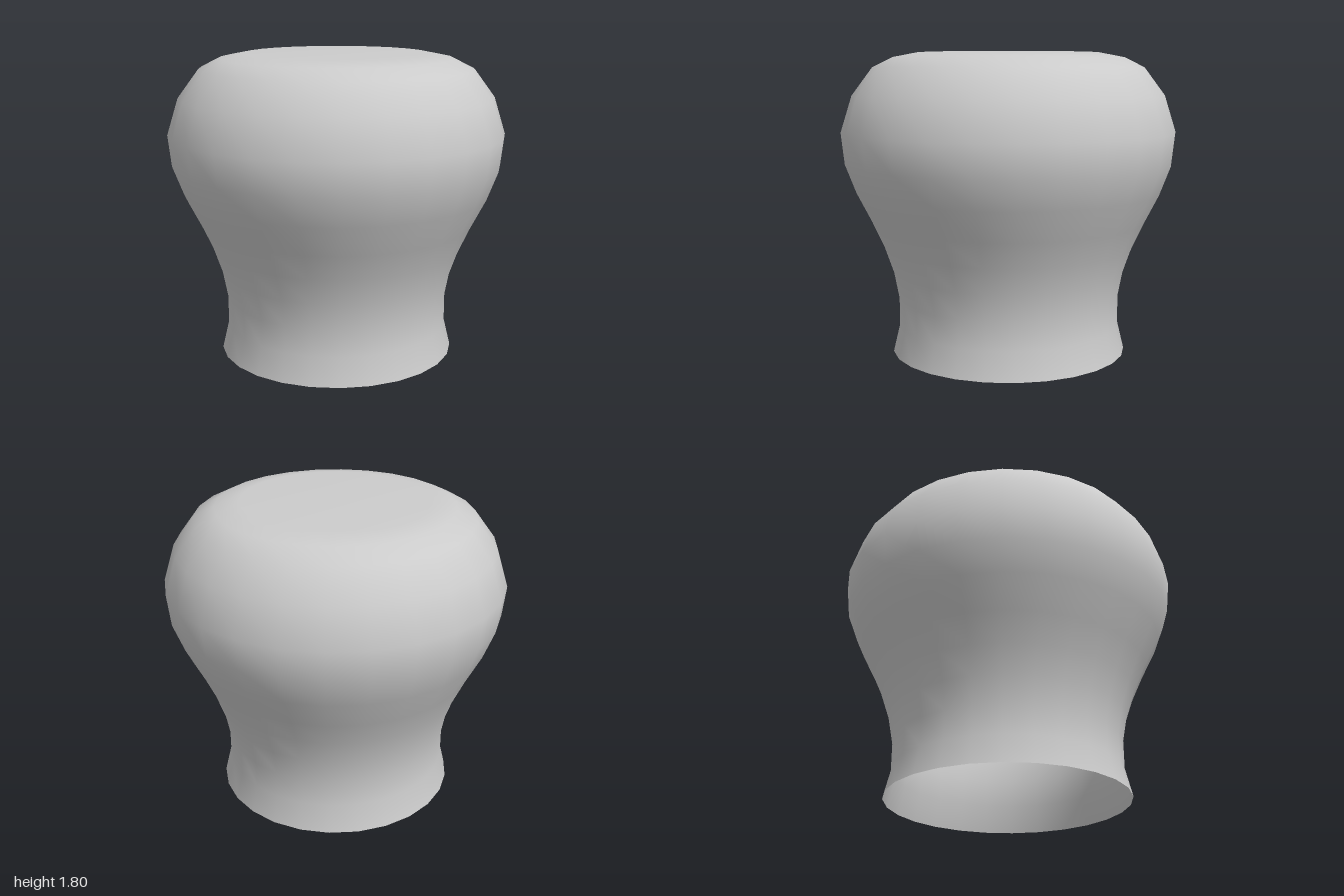
import * as THREE from 'three';

// Profile of the knob as [radius, height], from the open foot to the centre of the top
const PROFILE = [
  [0.712, 0], [0.672, 0.165], [0.672, 0.33], [0.702, 0.49], [0.755, 0.645],
  [0.825, 0.8], [0.916, 0.98], [0.98, 1.15], [1, 1.337], [0.932, 1.553],
  [0.809, 1.718], [0.691, 1.777], [0.547, 1.805], [0, 1.805],
];
const SIDES = 26;

export function createModel() {
  const group = new THREE.Group();
  group.name = 'knob';

  // Thin turned shell, hollow and open underneath
  const points = PROFILE.map(([r, y]) => new THREE.Vector2(r, y));
  const shell = new THREE.Mesh(
    new THREE.LatheGeometry(points, SIDES),
    new THREE.MeshStandardMaterial({ color: 0xcccccc, side: THREE.DoubleSide }),
  );
  shell.name = 'knobShell';
  group.add(shell);

  return group;
}
